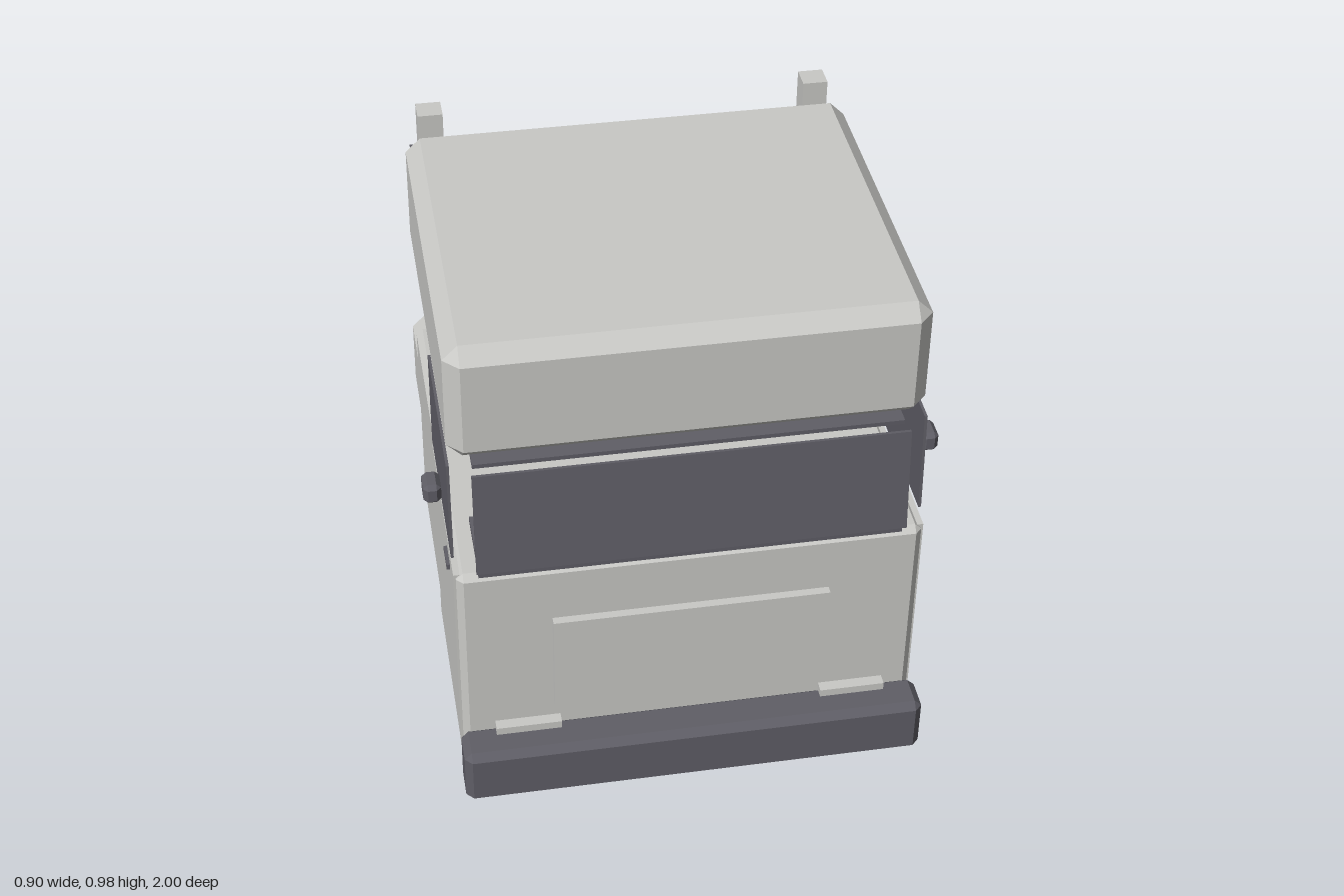
import * as THREE from 'three';
import { ConvexGeometry } from 'three/addons/geometries/ConvexGeometry.js';

const paint = new THREE.MeshStandardMaterial({ color: 0xc9c9c6 });
paint.name = 'light grey paint';
const dark = new THREE.MeshStandardMaterial({ color: 0x5f5e66 });
dark.name = 'dark grey';

// Box given by its min/max on each axis
function box(name, mat, [x0, x1], [y0, y1], [z0, z1]) {
  const m = new THREE.Mesh(new THREE.BoxGeometry(x1 - x0, y1 - y0, z1 - z0), mat);
  m.position.set((x0 + x1) / 2, (y0 + y1) / 2, (z0 + z1) / 2);
  m.name = name;
  return m;
}

// Box with chamfered edges and corners
function chamferBox(name, mat, [x0, x1], [y0, y1], [z0, z1], c) {
  const h = [(x1 - x0) / 2, (y1 - y0) / 2, (z1 - z0) / 2];
  const pts = [];
  for (const sx of [-1, 1]) for (const sy of [-1, 1]) for (const sz of [-1, 1])
    for (let a = 0; a < 3; a++) {
      const d = h.map((v, i) => (i === a ? v : v - c));
      pts.push(new THREE.Vector3(sx * d[0], sy * d[1], sz * d[2]));
    }
  const m = new THREE.Mesh(new ConvexGeometry(pts), mat);
  m.position.set((x0 + x1) / 2, (y0 + y1) / 2, (z0 + z1) / 2);
  m.name = name;
  return m;
}

// x range on the chosen side
const side = (s, a, b) => (s > 0 ? [a, b] : [-b, -a]);

export function createModel() {
  const g = new THREE.Group();
  g.name = 'truck';

  // Chassis, cab, roof and bumper
  g.add(
    box('chassis', dark, [-0.325, 0.325], [0, 0.15], [-1, 0.845]),
    box('rearPlate', dark, [-0.165, 0.165], [0.155, 0.197], [-0.85, -0.525]),
    chamferBox('cab', paint, [-0.408, 0.408], [0.08, 0.505], [0.2, 0.92], 0.012),
    chamferBox('roof', paint, [-0.41, 0.41], [0.72, 0.95], [0.2, 0.88], 0.027),
    chamferBox('bumper', dark, [-0.414, 0.414], [0.036, 0.15], [0.922, 1], 0.013),
    box('grille', paint, [-0.245, 0.245], [0.19, 0.39], [0.915, 0.935]),
    box('dashboard', dark, [-0.37, 0.37], [0.5, 0.518], [0.78, 0.918]),
    box('ceilingPanel', dark, [-0.37, 0.37], [0.711, 0.719], [0.44, 0.88])
  );

  // Windscreen, leaning back
  const screen = box('windscreen', dark, [-0.374, 0.374], [0.518, 0.718], [0.914, 0.92]);
  screen.rotation.x = -0.1;
  g.add(screen);

  // Side window outline, with a leaning front edge
  const pane = new THREE.Shape();
  pane.moveTo(0.565, 0.52).lineTo(0.882, 0.52).lineTo(0.87, 0.714).lineTo(0.565, 0.714);
  const paneGeo = new THREE.ExtrudeGeometry(pane, { depth: 0.005, bevelEnabled: false });
  paneGeo.rotateY(-Math.PI / 2);

  for (const s of [1, -1]) {
    const window = new THREE.Mesh(paneGeo, dark);
    window.name = 'sideWindow';
    window.position.x = s * 0.41 + 0.0025;
    g.add(
      window,
      box('door', paint, side(s, 0.4, 0.412), [0.09, 0.5], [0.555, 0.905]),
      box('doorHandle', dark, side(s, 0.41, 0.418), [0.46, 0.47], [0.795, 0.845]),
      chamferBox('mirror', dark, side(s, 0.419, 0.45), [0.601, 0.64], [0.785, 0.835], 0.008),
      box('headlight', paint, side(s, 0.235, 0.352), [0.14, 0.165], [0.93, 0.95]),
      box('exhaustStack', paint, side(s, 0.337, 0.383), [0.455, 0.98], [0.155, 0.2]),
      chamferBox('fender', paint, side(s, 0.225, 0.388), [0.017, 0.202], [-0.26, 0.14], 0.025),
      // Seat back, stem and headrest
      chamferBox('seatBack', dark, side(s, 0.06, 0.2), [0.49, 0.555], [0.42, 0.455], 0.008),
      box('headrestStem', dark, side(s, 0.125, 0.135), [0.55, 0.585], [0.428, 0.436]),
      chamferBox('headrest', dark, side(s, 0.085, 0.175), [0.58, 0.632], [0.418, 0.445], 0.008)
    );
  }

  // Steering wheel
  const steering = new THREE.Mesh(new THREE.TorusGeometry(0.05, 0.006, 6, 16), dark);
  steering.name = 'steeringWheel';
  steering.position.set(-0.16, 0.485, 0.745);
  steering.rotation.x = 0.5;
  g.add(steering);

  // Spare wheel standing behind the cab
  const spare = new THREE.Group();
  spare.name = 'spareWheel';
  const ring = new THREE.Shape().absarc(0, 0, 0.17, 0, Math.PI * 2);
  ring.holes.push(new THREE.Path().absarc(0, 0, 0.105, 0, Math.PI * 2, true));
  const tyreGeo = new THREE.ExtrudeGeometry(ring, { depth: 0.105, bevelEnabled: false, curveSegments: 10 });
  tyreGeo.translate(0, 0, -0.0525).rotateY(Math.PI / 2);
  const tyre = new THREE.Mesh(tyreGeo, dark);
  tyre.name = 'tyre';
  const rim = new THREE.Mesh(new THREE.CylinderGeometry(0.106, 0.106, 0.1, 20).rotateZ(Math.PI / 2), paint);
  rim.name = 'rim';
  spare.add(tyre, rim);
  spare.position.set(-0.002, 0.26, -0.044);
  g.add(spare);

  return g;
}
